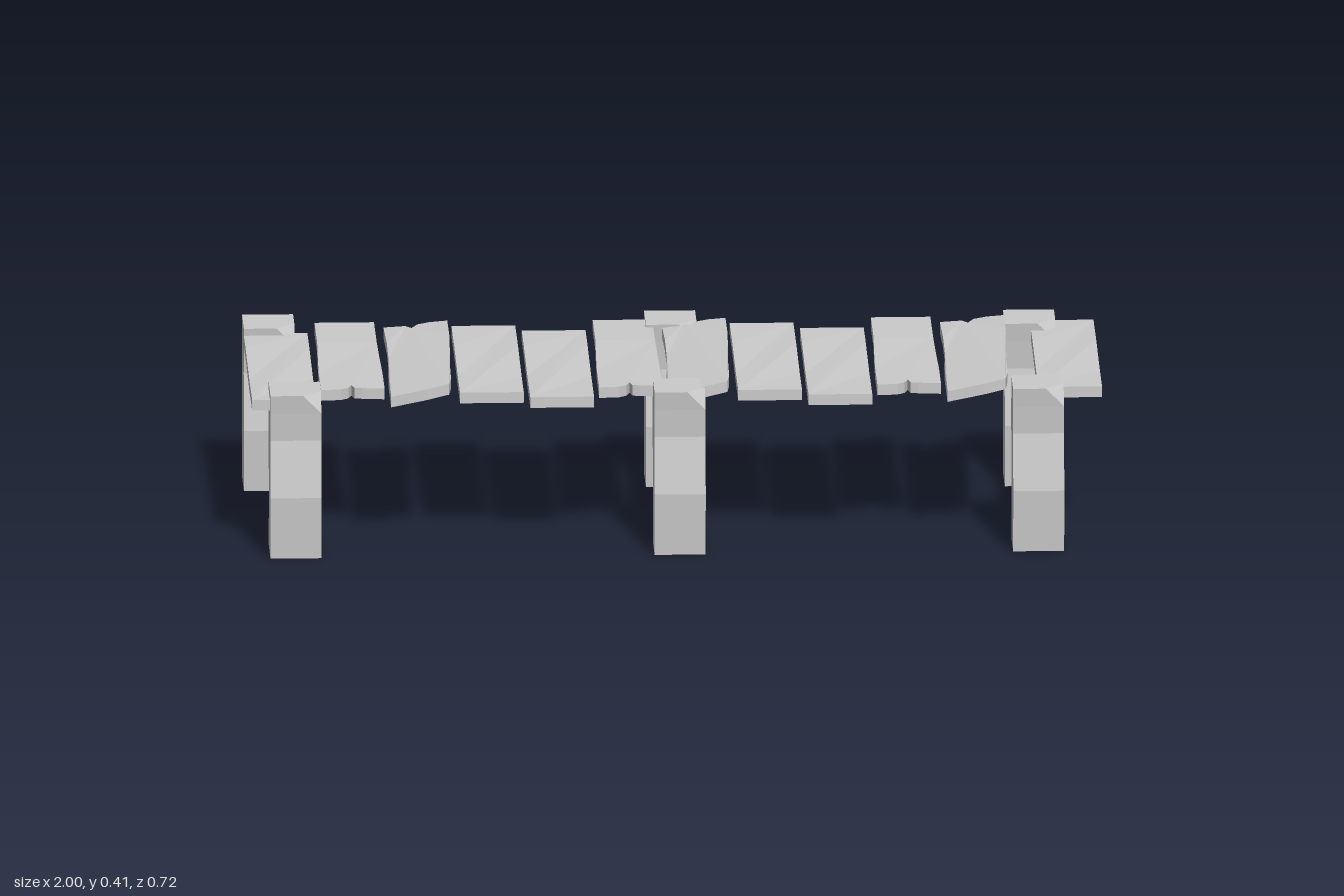
import * as THREE from 'three';

const material = new THREE.MeshStandardMaterial({ color: 0xcccccc, flatShading: true });

// Plank outlines as [x, z] around the plank's own centre line, counter-clockwise
const straight = (back, front) => [
  [-0.075, back], [0.075, back], [0.075, -0.12], [0.075, 0], [0.075, 0.12],
  [0.075, front], [-0.075, front], [-0.075, 0.12], [-0.075, 0], [-0.075, -0.12],
];
const outlines = {
  long: straight(-0.25, 0.315),
  plain: straight(-0.302, 0.265),
  notched: [
    [-0.07, -0.302], [0.07, -0.302], [0.07, -0.12], [0.072, 0], [0.075, 0.12], [0.075, 0.262],
    [0.022, 0.255], [0.004, 0.25], [-0.002, 0.225], [-0.01, 0.25], [-0.028, 0.265],
    [-0.075, 0.27], [-0.075, 0.12], [-0.073, 0], [-0.07, -0.12],
  ],
  chipped: [
    [-0.073, -0.255], [-0.022, -0.245], [-0.008, -0.22], [0.006, -0.247], [0.035, -0.255],
    [0.077, -0.25], [0.077, -0.12], [0.074, 0], [0.07, 0.12], [0.068, 0.245], [0.062, 0.298],
    [0.01, 0.308], [-0.075, 0.31], [-0.075, 0.12], [-0.07, 0], [-0.07, -0.12],
  ],
};
const topHeight = { long: 0.378, plain: 0.378, notched: 0.389, chipped: 0.396 };

// A plank: extruded outline, slightly warped along z; chipped ones also twist
function makePlank(kind, x) {
  const shape = new THREE.Shape(outlines[kind].map(([px, pz]) => new THREE.Vector2(px, pz)));
  const geometry = new THREE.ExtrudeGeometry(shape, { depth: 0.026, bevelEnabled: false });
  geometry.rotateX(Math.PI / 2);
  const p = geometry.attributes.position;
  for (let i = 0; i < p.count; i++) {
    const z = p.getZ(i);
    const twist = kind === 'chipped' ? p.getX(i) * (0.15 + 0.15 * z) : 0;
    p.setY(i, p.getY(i) + topHeight[kind] - 0.003 * Math.sin(z * 11) + twist);
  }
  geometry.computeVertexNormals();
  const mesh = new THREE.Mesh(geometry, material);
  mesh.name = kind + 'Plank';
  mesh.position.x = x;
  return mesh;
}

// A post: crooked box whose top front corner is cut off
function makePost(x, z) {
  const heights = [0, 0.15, 0.285, 0.352, 0.397];
  const sway = [0, 0.01, -0.01, -0.005, 0];
  const half = 0.06, cut = 0.017;
  const geometry = new THREE.BoxGeometry(2, 4, 2, 2, 4, 2);
  const p = geometry.attributes.position;
  for (let i = 0; i < p.count; i++) {
    const px = Math.round(p.getX(i)), pz = Math.round(p.getZ(i));
    let ring = Math.round(p.getY(i)) + 2;
    if (ring === 4 && px === 1 && pz === 1) ring = 3;
    p.setXYZ(i, px === 0 ? cut : px * half, heights[ring], (pz === 0 ? cut : pz * half) + sway[ring]);
  }
  geometry.computeVertexNormals();
  const mesh = new THREE.Mesh(geometry, material);
  mesh.name = 'post';
  mesh.position.set(x, 0, z);
  return mesh;
}

export function createModel() {
  const group = new THREE.Group();
  group.name = 'dock';

  // Deck: four plank kinds repeated, with a gap before the last one
  const deck = new THREE.Group();
  deck.name = 'deck';
  const kinds = ['long', 'notched', 'chipped', 'plain'];
  for (let i = 0; i < 12; i++) {
    deck.add(makePlank(kinds[i % 4], i === 11 ? 0.925 : -0.925 + i * 0.1635));
  }
  group.add(deck);

  // Posts: three along each side
  const posts = new THREE.Group();
  posts.name = 'posts';
  const spots = [[-0.898, 0.288], [0.005, 0.288], [0.848, 0.288], [-0.94, -0.287], [0.005, -0.287], [0.848, -0.265]];
  for (const [x, z] of spots) posts.add(makePost(x, z));
  group.add(posts);

  return group;
}
